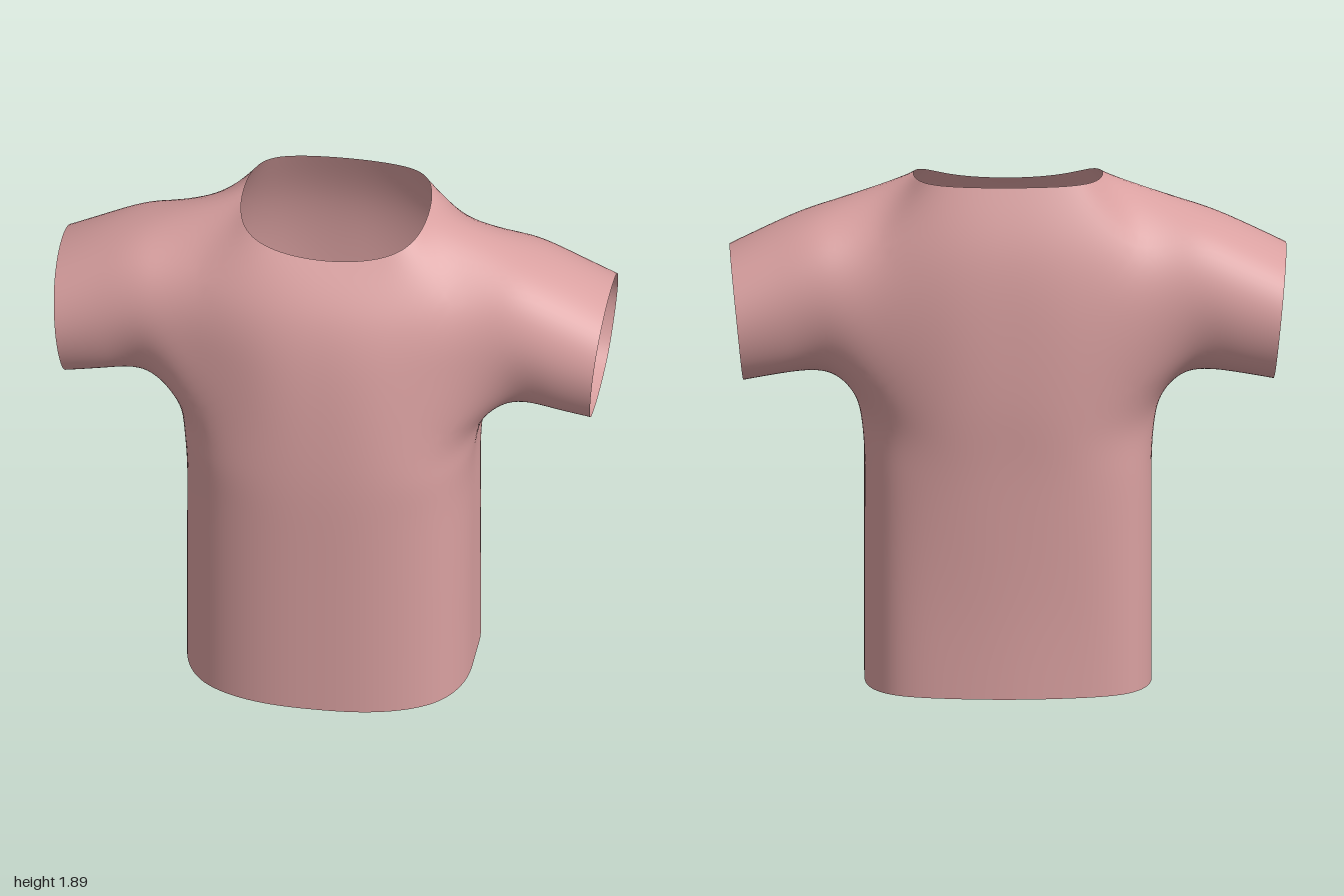
import * as THREE from 'three';

const V = (x, y, z) => new THREE.Vector3(x, y, z);

// One Catmull-Clark step; open borders stay smooth curves.
function subdivide({ verts, faces }) {
  const n = verts.length;
  const edges = new Map();
  const facePts = faces.map(f => f.reduce((s, i) => s.add(verts[i]), V(0, 0, 0)).divideScalar(f.length));
  const key = (a, b) => (a < b ? a * n + b : b * n + a);
  const info = verts.map(() => ({ faceSum: V(0, 0, 0), faces: 0, midSum: V(0, 0, 0), mids: 0, rimSum: V(0, 0, 0), rims: 0 }));
  faces.forEach((f, k) => f.forEach((a, j) => {
    const b = f[(j + 1) % f.length], id = key(a, b);
    if (!edges.has(id)) edges.set(id, { a, b, faces: [] });
    edges.get(id).faces.push(k);
    info[a].faceSum.add(facePts[k]);
    info[a].faces++;
  }));
  const out = new Array(n);
  for (const e of edges.values()) {
    const mid = verts[e.a].clone().add(verts[e.b]).multiplyScalar(0.5);
    for (const i of [e.a, e.b]) {
      info[i].midSum.add(mid);
      info[i].mids++;
      if (e.faces.length === 1) { info[i].rimSum.add(mid); info[i].rims++; }
    }
    e.index = out.length;
    out.push(e.faces.length === 1 ? mid
      : mid.multiplyScalar(2).add(facePts[e.faces[0]]).add(facePts[e.faces[1]]).multiplyScalar(0.25));
  }
  verts.forEach((v, i) => {
    const t = info[i], m = t.mids;
    out[i] = t.rims
      ? v.clone().multiplyScalar(0.5).addScaledVector(t.rimSum, 0.25)
      : t.faceSum.divideScalar(t.faces).addScaledVector(t.midSum, 2 / m).addScaledVector(v, m - 3).divideScalar(m);
  });
  const base = out.length;
  out.push(...facePts);
  const quads = [];
  faces.forEach((f, k) => f.forEach((a, j) => {
    const b = f[(j + 1) % f.length], c = f[(j + f.length - 1) % f.length];
    quads.push([a, edges.get(key(a, b)).index, base + k, edges.get(key(c, a)).index]);
  }));
  return { verts: out, faces: quads };
}

// Shift the cage until the smooth surface passes through the given points.
function fitCage(cage) {
  const target = cage.verts.map(v => v.clone());
  for (let k = 0; k < 8; k++) {
    const smooth = subdivide(subdivide(cage));
    cage.verts.forEach((v, i) => v.add(target[i]).sub(smooth.verts[i]));
  }
  return cage;
}

function shirtCage() {
  const verts = [], faces = [], lookup = new Map();
  const index = p => {
    const id = p.map(c => Math.round(c * 1e4)).join();
    if (!lookup.has(id)) { lookup.set(id, verts.length); verts.push(V(...p)); }
    return lookup.get(id);
  };
  const flip = ([x, y, z]) => [x === 0 ? 0 : -x, y, z];
  // Quads between two rows of points, mirrored to the other half
  const strip = (a, b) => {
    for (let i = 0; i < a.length - 1; i++) {
      const q = [a[i], a[i + 1], b[i + 1], b[i]];
      faces.push(q.map(index), q.map(flip).reverse().map(index));
    }
  };

  // Torso: half rings from front centre round the side to back centre
  const torso = (y, front, back, side) => [
    [0, y, front], [0.22, y, front - 0.018], [0.42, y, 0.32],
    [side - 0.007, y, 0.15], [side, y, -0.02], [side - 0.007, y, -0.18],
    [0.42, y, -0.32], [0.22, y, back + 0.015], [0, y, back]];
  const armpit = [
    [0, 1.14, 0.415], [0.22, 1.14, 0.395], [0.465, 1.14, 0.285],
    [0.55, 1.085, 0.11], [0.56, 1.085, -0.04], [0.55, 1.085, -0.2],
    [0.465, 1.14, -0.335], [0.22, 1.14, -0.415], [0, 1.14, -0.43]];
  const rows = [
    torso(0, 0.43, -0.39, 0.515), torso(0.3, 0.43, -0.39, 0.515),
    torso(0.6, 0.43, -0.4, 0.515), torso(0.82, 0.43, -0.41, 0.515),
    torso(0.97, 0.427, -0.42, 0.525), armpit];
  for (let i = 0; i < rows.length - 1; i++) strip(rows[i], rows[i + 1]);

  // Chest, upper back and yoke
  const chest = [[0, 1.38, 0.385], [0.22, 1.38, 0.365], [0.47, 1.4, 0.275]];
  const back = [[0.47, 1.4, -0.365], [0.22, 1.4, -0.418], [0, 1.4, -0.428]];
  const yoke = [
    [0, 1.61, 0.32], [0.22, 1.61, 0.3], [0.465, 1.65, 0.205], [0.47, 1.825, -0.05],
    [0.465, 1.66, -0.305], [0.22, 1.66, -0.385], [0, 1.66, -0.4]];
  const neck = [
    [0, 1.785, 0.19], [0.19, 1.802, 0.172], [0.305, 1.843, 0.105], [0.34, 1.873, -0.06],
    [0.308, 1.888, -0.235], [0.19, 1.89, -0.305], [0, 1.89, -0.32]];
  strip(armpit.slice(0, 3), chest);
  strip(chest, yoke.slice(0, 3));
  strip(armpit.slice(6), back);
  strip(back, yoke.slice(4));
  strip(yoke, neck);

  // Sleeves: rings from underarm over the front to the top and down the back
  const angles = [-90, -64, -36, 3, 47, 90, 133, 177, 216, 244, 270];
  const squarish = c => Math.sign(c) * Math.abs(c) ** 0.9;
  const sleeve = (x, tilt, y, ry, z, rz) => angles.map(d => {
    const s = Math.sin(d * Math.PI / 180), c = Math.cos(d * Math.PI / 180);
    return [x + tilt * s, y + ry * squarish(s), z + rz * squarish(c)];
  });
  let inner = [
    armpit[4], armpit[3], armpit[2], chest[2], yoke[2], yoke[3],
    yoke[4], back[0], armpit[6], armpit[5], armpit[4]];
  for (const ring of [
    sleeve(0.66, 0.01, 1.447, 0.301, -0.055, 0.288),
    sleeve(0.82, 0.018, 1.412, 0.268, -0.058, 0.281),
    sleeve(0.975, 0.025, 1.36, 0.24, -0.06, 0.278)]) {
    strip(ring, inner);
    inner = ring;
  }
  return { verts, faces };
}

export function createModel() {
  let mesh = fitCage(shirtCage());
  for (let k = 0; k < 3; k++) mesh = subdivide(mesh);

  const geometry = new THREE.BufferGeometry().setFromPoints(mesh.verts);
  geometry.setIndex(mesh.faces.flatMap(([a, b, c, d]) => [a, b, c, a, c, d]));
  geometry.computeVertexNormals();

  // Thin cloth, open at hem, neck and cuffs
  const cloth = new THREE.MeshStandardMaterial({ color: 0xd9a0a0, side: THREE.DoubleSide });
  const shirt = new THREE.Mesh(geometry, cloth);
  shirt.name = 'shirt';
  const group = new THREE.Group();
  group.name = 'tShirt';
  group.add(shirt);
  return group;
}
